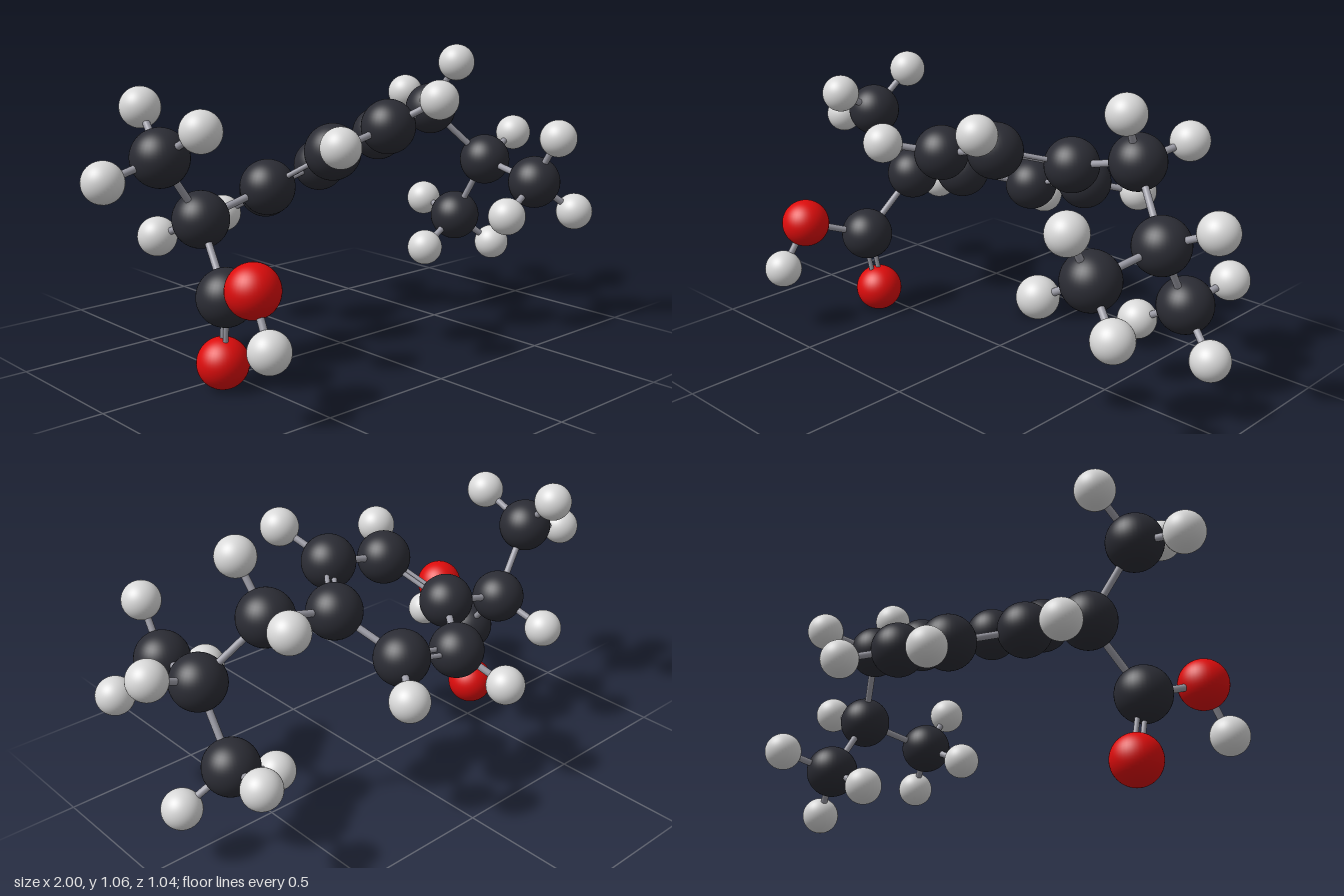
import * as THREE from 'three';

const mat = (name, color) => {
  const m = new THREE.MeshStandardMaterial({ color });
  m.name = name;
  return m;
};

// Atom kinds: radius, colour and part name
const kinds = {
  C: { name: 'carbonAtom', radius: 0.097, material: mat('charcoal', 0x2b2c34) },
  H: { name: 'hydrogenAtom', radius: 0.0685, material: mat('paleGrey', 0xd9d9d9) },
  O: { name: 'oxygenAtom', radius: 0.088, material: mat('red', 0xdd0c0c) },
};
const bondMaterial = mat('bondGrey', 0x9c9ca6);

// Heavy atoms: [kind, x, y, z]
const heavy = {
  ringRight: ['C', 0.262, 0.743, -0.081],
  ringBackRight: ['C', 0.15, 0.61, -0.289],
  ringBackLeft: ['C', -0.112, 0.545, -0.289],
  ringLeft: ['C', -0.27, 0.61, -0.08],
  ringFrontLeft: ['C', -0.158, 0.747, 0.133],
  ringFrontRight: ['C', 0.104, 0.807, 0.133],
  bridge: ['C', 0.543, 0.813, -0.079],
  fork: ['C', 0.735, 0.605, 0.038],
  forkFront: ['C', 0.687, 0.56, 0.325],
  forkBack: ['C', 0.733, 0.355, -0.113],
  alpha: ['C', -0.553, 0.538, -0.082],
  methyl: ['C', -0.73, 0.77, -0.045],
  acid: ['C', -0.605, 0.324, 0.118],
  acidOxygen: ['O', -0.592, 0.09, 0.078],
  acidHydroxyl: ['O', -0.678, 0.411, 0.354],
};

// Hydrogens grouped by the atom that carries them
const hydrogens = {
  ringBackRight: [[0.27, 0.56, -0.453]],
  ringBackLeft: [[-0.19, 0.444, -0.453]],
  ringFrontLeft: [[-0.275, 0.793, 0.302]],
  ringFrontRight: [[0.185, 0.909, 0.3]],
  bridge: [[0.57, 0.996, 0.027], [0.605, 0.855, -0.278]],
  fork: [[0.928, 0.691, 0.02]],
  forkFront: [[0.682, 0.738, 0.434], [0.5, 0.46, 0.352], [0.837, 0.438, 0.403]],
  forkBack: [[0.548, 0.251, -0.103], [0.886, 0.229, -0.044], [0.767, 0.39, -0.321]],
  alpha: [[-0.602, 0.455, -0.27]],
  methyl: [[-0.932, 0.715, -0.056], [-0.699, 0.914, -0.198], [-0.702, 0.871, 0.14]],
  acidHydroxyl: [[-0.698, 0.248, 0.454]],
};

// Bonds between heavy atoms: [from, to, order]
const bonds = [
  ['ringRight', 'ringBackRight', 1], ['ringBackRight', 'ringBackLeft', 2],
  ['ringBackLeft', 'ringLeft', 1], ['ringLeft', 'ringFrontLeft', 2],
  ['ringFrontLeft', 'ringFrontRight', 1], ['ringFrontRight', 'ringRight', 2],
  ['ringRight', 'bridge', 1], ['bridge', 'fork', 1],
  ['fork', 'forkFront', 1], ['fork', 'forkBack', 1],
  ['ringLeft', 'alpha', 1], ['alpha', 'methyl', 1], ['alpha', 'acid', 1],
  ['acid', 'acidOxygen', 2], ['acid', 'acidHydroxyl', 1],
];

const position = (key) => new THREE.Vector3(...heavy[key].slice(1));

export function createModel() {
  const model = new THREE.Group();
  model.name = 'molecule';
  const spheres = {};
  for (const k in kinds) spheres[k] = new THREE.SphereGeometry(kinds[k].radius, 40, 28);

  const addAtom = (kind, at) => {
    const ball = new THREE.Mesh(spheres[kind], kinds[kind].material);
    ball.name = kinds[kind].name;
    ball.position.copy(at);
    model.add(ball);
  };

  const addRod = (a, b, radius, name) => {
    const dir = b.clone().sub(a);
    const rod = new THREE.Mesh(
      new THREE.CylinderGeometry(radius, radius, dir.length(), 16, 1, true), bondMaterial);
    rod.name = name;
    rod.position.copy(a).lerp(b, 0.5);
    rod.quaternion.setFromUnitVectors(new THREE.Vector3(0, 1, 0), dir.normalize());
    model.add(rod);
  };

  // Atoms
  for (const key in heavy) addAtom(heavy[key][0], position(key));

  // Hydrogens with their bonds
  for (const key in hydrogens) {
    for (const h of hydrogens[key]) {
      const at = new THREE.Vector3(...h);
      addAtom('H', at);
      addRod(position(key), at, 0.0125, 'singleBond');
    }
  }

  // Ring normal and acid-group normal set the plane of the paired rods
  const normalOf = (a, b, c) => position(b).sub(position(a))
    .cross(position(c).sub(position(a))).normalize();
  const ringNormal = normalOf('ringRight', 'ringBackLeft', 'ringFrontLeft');
  const acidNormal = normalOf('acid', 'acidOxygen', 'acidHydroxyl');

  // Single and double bonds
  for (const [from, to, order] of bonds) {
    const a = position(from), b = position(to);
    if (order === 1) {
      addRod(a, b, 0.0125, 'singleBond');
      continue;
    }
    const normal = from === 'acid' ? acidNormal : ringNormal;
    const side = b.clone().sub(a).cross(normal).setLength(0.014);
    for (const s of [-1, 1]) {
      const shift = side.clone().multiplyScalar(s);
      addRod(a.clone().add(shift), b.clone().add(shift), 0.009, 'doubleBond');
    }
  }
  return model;
}
